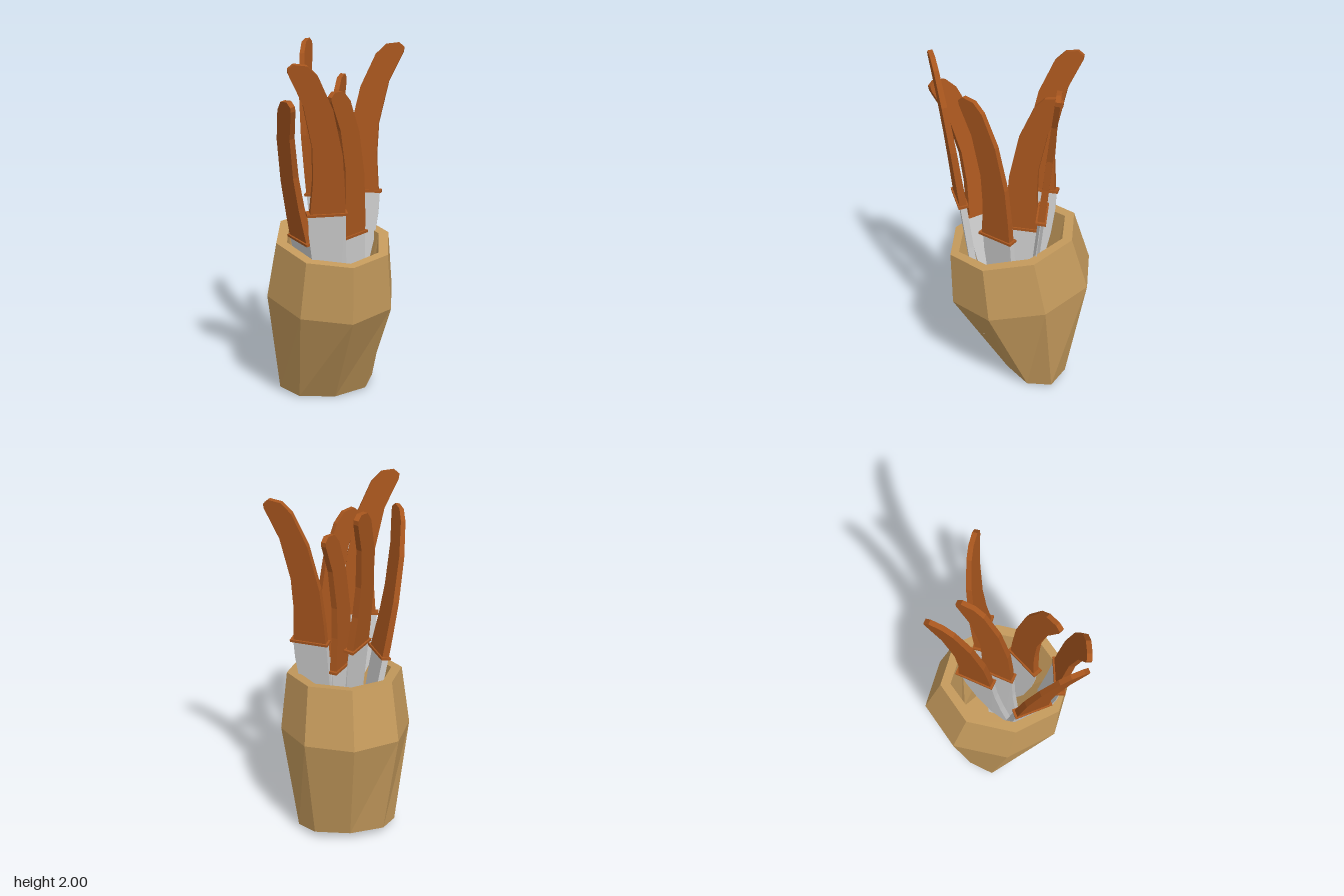
import * as THREE from 'three';

const material = (color) =>
  new THREE.MeshStandardMaterial({ color, flatShading: true, side: THREE.DoubleSide });
const clay = material(0xc49a5c);
const wood = material(0xa8561e);
const steel = material(0xcccccc);

function addMesh(parent, name, geometry, mat) {
  const mesh = new THREE.Mesh(geometry, mat);
  mesh.name = name;
  parent.add(mesh);
  return mesh;
}

// Leaning eight-sided pot: rings of [height, tilt, radius x, radius z, centre z]
function potGeometry() {
  const sides = 8;
  const rings = [
    [0.025, 0, 0, 0, -0.08],
    [0.025, 0.025, 0.28, 0.17, -0.08],
    [0.625, 0.055, 0.367, 0.418, -0.003],
    [0.948, 0.053, 0.325, 0.37, 0.05],
    [0.948, 0.045, 0.265, 0.317, 0.053],
    [0.08, 0.02, 0.225, 0.14, -0.08],
    [0.08, 0, 0, 0, -0.08],
  ];
  const positions = [];
  const index = [];
  rings.forEach(([y, tilt, rx, rz, cz], j) => {
    for (let i = 0; i < sides; i++) {
      const a = (i / sides) * Math.PI * 2;
      positions.push(-0.028 + rx * Math.sin(a), y - tilt * Math.cos(a), cz + rz * Math.cos(a));
      if (j === rings.length - 1) continue;
      const p = j * sides + i;
      const q = j * sides + ((i + 1) % sides);
      if (j > 0) index.push(p, q, q + sides);
      if (j < rings.length - 2) index.push(p, q + sides, p + sides);
      if (j === 0) index.push(p, q + sides, p + sides);
    }
  });
  const geometry = new THREE.BufferGeometry();
  geometry.setAttribute('position', new THREE.Float32BufferAttribute(positions, 3));
  geometry.setIndex(index);
  const flat = geometry.toNonIndexed();
  flat.computeVertexNormals();
  return flat;
}

// Flat outline given a thickness that depends on the place in the outline
function slab(outline, thickness) {
  const shape = new THREE.Shape(outline.map(([x, y]) => new THREE.Vector2(x, y)));
  const geometry = new THREE.ExtrudeGeometry(shape, { depth: 1, bevelEnabled: false });
  const p = geometry.attributes.position;
  for (let i = 0; i < p.count; i++) {
    p.setZ(i, (p.getZ(i) - 0.5) * thickness(p.getX(i), p.getY(i)));
  }
  geometry.computeVertexNormals();
  return geometry;
}

// Curved grip, slimmer towards its end
const handleGeometry = slab([
  [0.092, 0], [0.078, 0.2], [0.085, 0.38], [0.135, 0.61], [0.212, 0.775], [0.215, 0.8],
  [0.185, 0.825], [0.115, 0.815], [0.06, 0.76], [-0.02, 0.58], [-0.075, 0.33],
  [-0.092, 0.12], [-0.097, 0],
], (x, y) => 0.04 - 0.016 * y);

// Wedge blade: thick spine, thin curved edge
const bladeGeometry = slab([
  [0.1, 0], [0.095, -0.12], [0.075, -0.27], [0.025, -0.5], [-0.06, -0.72],
  [-0.165, -0.85], [-0.13, -0.55], [-0.108, -0.27], [-0.1, 0],
], (x) => THREE.MathUtils.clamp(THREE.MathUtils.mapLinear(x, -0.1, 0.1, 0.036, 0.004), 0.004, 0.036));

const guardGeometry = new THREE.BoxGeometry(0.218, 0.014, 0.058);

// Knife at a guard position; bend = heading of the grip's curve, lean = outward slope
function knife(position, bend, lean) {
  const group = new THREE.Group();
  group.name = 'knife';
  addMesh(group, 'handle', handleGeometry, wood);
  addMesh(group, 'guard', guardGeometry, wood);
  addMesh(group, 'blade', bladeGeometry, steel);
  const u = new THREE.Vector3(bend[0], 0, bend[1]).normalize();
  const v = new THREE.Vector3(lean[0], 1, lean[1]);
  v.addScaledVector(u, -v.dot(u)).normalize();
  const w = new THREE.Vector3().crossVectors(u, v);
  group.quaternion.setFromRotationMatrix(new THREE.Matrix4().makeBasis(u, v, w));
  group.position.set(...position);
  return group;
}

export function createModel() {
  const model = new THREE.Group();
  model.name = 'knifePot';
  addMesh(model, 'pot', potGeometry(), clay);

  // Guard position, bend heading (x, z), outward lean (x, z)
  const knives = [
    [[-0.145, 1.178, 0.318], [-0.993, -0.12], [-0.016, 0.12]],
    [[0.172, 1.178, -0.045], [0.9, 0.44], [0.05, -0.1]],
    [[-0.078, 1.178, -0.127], [0.56, -0.83], [-0.1, -0.067]],
    [[-0.24, 0.997, 0.16], [0.22, 0.975], [-0.2, 0.045]],
    [[0.04, 0.997, 0.167], [-0.84, 0.54], [0.02, 0.03]],
    [[0.0, 0.997, 0.0], [0.55, -0.835], [-0.01, -0.006]],
  ];
  knives.forEach((k) => model.add(knife(...k)));
  return model;
}
